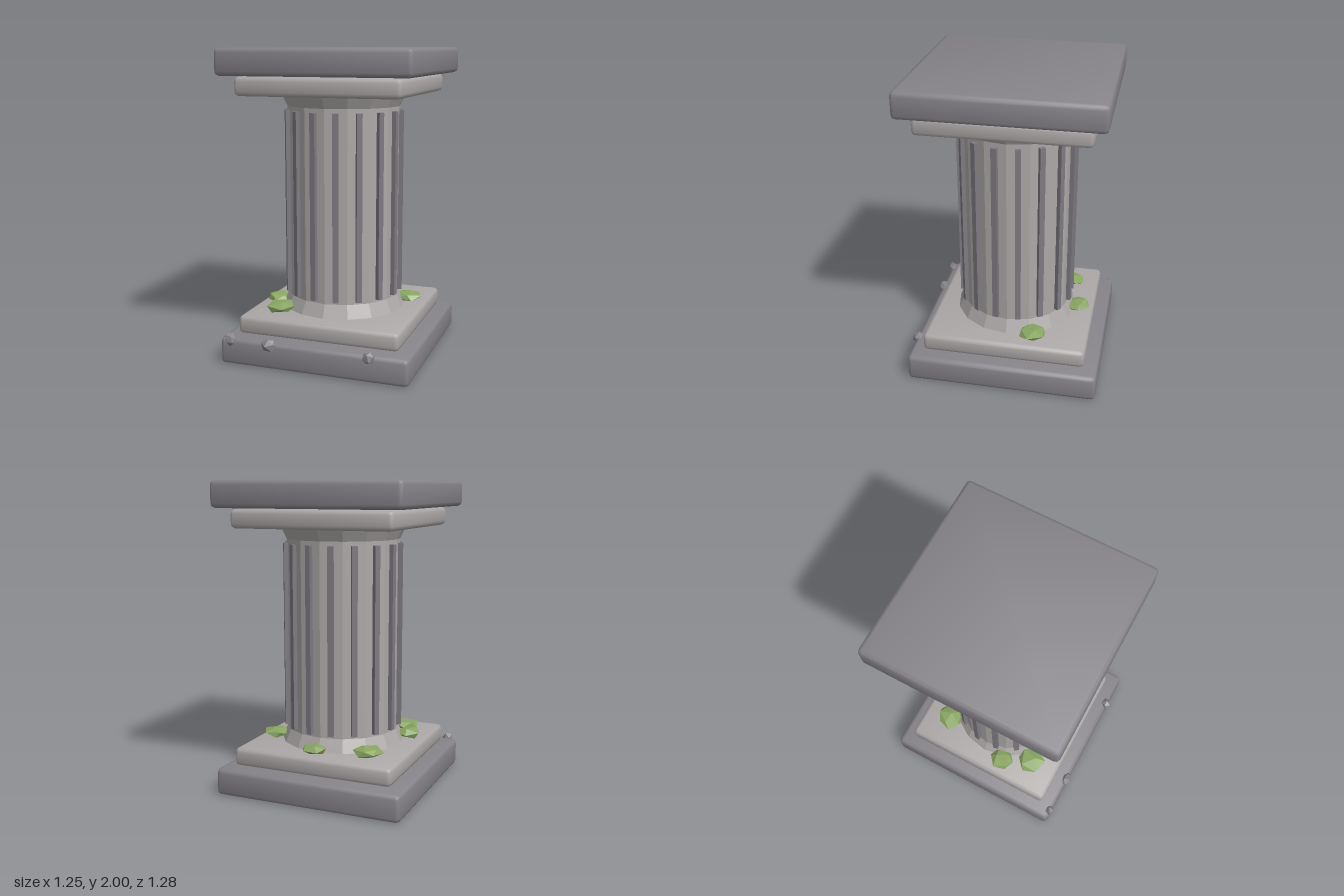
import * as THREE from 'three';
import { RoundedBoxGeometry } from 'three/addons/geometries/RoundedBoxGeometry.js';

const SIDES = 16;
const AXIS_Z = -0.015; // the chips on the front push the column axis slightly back

// Chamfered slab whose normals lean outwards, for soft shading across its faces
function slabGeometry(width, height) {
  const geometry = new RoundedBoxGeometry(width, height, width, 1, 0.028);
  const { position, normal } = geometry.attributes;
  const n = new THREE.Vector3();
  for (let i = 0; i < position.count; i++) {
    n.fromBufferAttribute(normal, i);
    n.x += 0.2 * Math.sign(position.getX(i));
    n.y += 0.2 * Math.sign(position.getY(i));
    n.z += 0.2 * Math.sign(position.getZ(i));
    n.normalize();
    normal.setXYZ(i, n.x, n.y, n.z);
  }
  return geometry;
}

// Uneven faceted lump; the bumps depend on position, so shared corners stay joined
function lumpGeometry(seed, w, h, d) {
  const geometry = new THREE.IcosahedronGeometry(1, 0).rotateY(seed * 1.3 + 0.4).rotateZ(0.3);
  const position = geometry.attributes.position;
  const p = new THREE.Vector3();
  for (let i = 0; i < position.count; i++) {
    p.fromBufferAttribute(position, i);
    p.multiplyScalar(1 + 0.17 * Math.sin(seed * 2.1 + 5 * p.x + 7 * p.y + 9 * p.z));
    position.setXYZ(i, p.x, p.y, p.z);
  }
  return geometry.scale(w, h, d);
}

export function createModel() {
  const group = new THREE.Group();
  const darkStone = new THREE.MeshStandardMaterial({ color: 0x868389 });
  const lightStone = new THREE.MeshStandardMaterial({ color: 0xaca8a7 });
  const shaftStone = new THREE.MeshStandardMaterial({ color: 0xaca8a7, flatShading: true });
  const ribStone = new THREE.MeshStandardMaterial({ color: 0x7d7a81, flatShading: true });
  const chipStone = new THREE.MeshStandardMaterial({ color: 0x868389, flatShading: true });
  const moss = new THREE.MeshStandardMaterial({ color: 0x88a562, flatShading: true });

  const add = (name, geometry, material, x, y, z, parent = group) => {
    const mesh = new THREE.Mesh(geometry, material);
    mesh.name = name;
    mesh.position.set(x, y, z);
    parent.add(mesh);
    return mesh;
  };

  // Square slabs: [name, width, bottom, top, material]
  const slabs = [
    ['baseSlab', 1.245, 0, 0.175, darkStone],
    ['basePlinth', 1.07, 0.181, 0.3, lightStone],
    ['capitalPlinth', 1.07, 1.706, 1.825, lightStone],
    ['capitalSlab', 1.245, 1.831, 2, darkStone],
  ];
  for (const [name, width, bottom, top, material] of slabs) {
    add(name, slabGeometry(width, top - bottom), material, 0, (bottom + top) / 2, AXIS_Z);
  }

  // Faceted shaft, flared at both ends
  const profile = [[0, 0.295], [0.41, 0.295], [0.37, 0.385], [0.37, 1.63], [0.41, 1.71], [0, 1.71]]
    .map(([r, y]) => new THREE.Vector2(r, y));
  add('shaft', new THREE.LatheGeometry(profile, SIDES), shaftStone, 0, 0, AXIS_Z);

  // One raised rib in the middle of each facet
  const ribs = new THREE.Group();
  ribs.name = 'ribs';
  ribs.position.z = AXIS_Z;
  group.add(ribs);
  const ribGeometry = new THREE.BoxGeometry(0.036, 1.2, 0.04);
  for (let i = 0; i < SIDES; i++) {
    const a = ((i + 0.5) / SIDES) * Math.PI * 2;
    const rib = add('rib', ribGeometry, ribStone, Math.sin(a) * 0.371, 1.003, Math.cos(a) * 0.371, ribs);
    rib.rotation.y = a;
  }

  // Flattened moss clumps around the foot of the shaft: [x, z, radius]
  const clumps = [
    [0.4, -0.19, 0.096], [0.02, -0.445, 0.085], [-0.315, -0.36, 0.09],
    [-0.41, 0.135, 0.086], [-0.315, 0.315, 0.1],
  ];
  clumps.forEach(([x, z, r], i) => {
    add('mossClump', lumpGeometry(i, r, 0.034, r), moss, x, 0.329, z);
  });

  // Stone chips along the top front edge of the base: [x, half width, half height]
  const chips = [[-0.55, 0.04, 0.047], [-0.283, 0.055, 0.044], [0.375, 0.04, 0.04]];
  chips.forEach(([x, w, h], i) => {
    add('stoneChip', lumpGeometry(i + 5, w, h, 0.037), chipStone, x, 0.164, 0.6);
  });

  return group;
}
